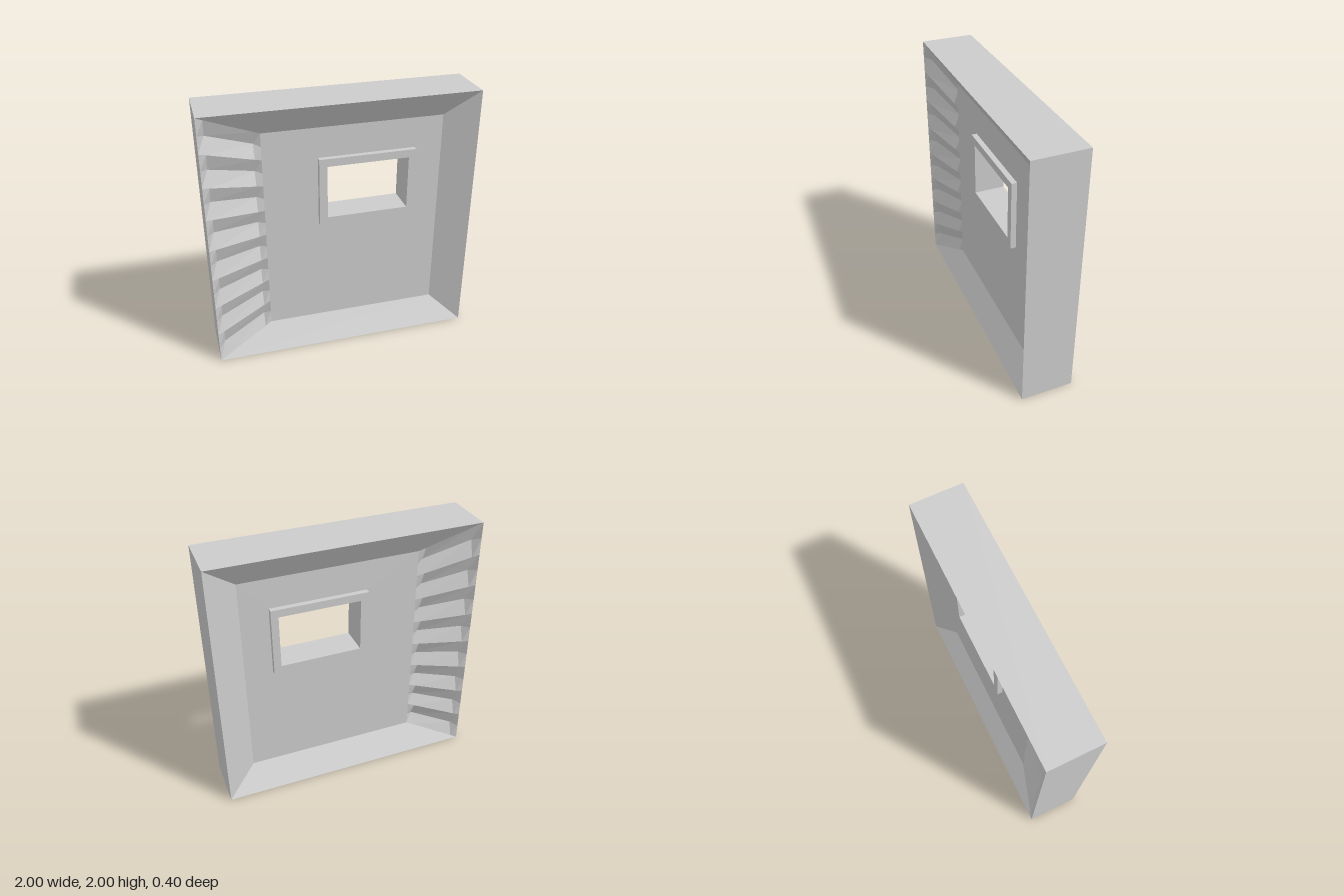
import * as THREE from 'three';

const grey = new THREE.MeshStandardMaterial({ color: 0xcccccc });
grey.name = 'plainGrey';

const RIM_Z = 0.2, PANEL_Z = 0.075, FRAME_Z = 0.115;
const outer = { x0: -1, x1: 1, y0: 0, y1: 2 };
const inner = { x0: -0.57, x1: 0.77, y0: 0.2, y1: 1.8 };
const frameOuter = { x0: -0.17, x1: 0.56, y0: 1.04, y1: 1.57 };
const frameInner = { x0: -0.11, x1: 0.505, y0: 1.1, y1: 1.51 };

function mesh(name, geometry) {
  const m = new THREE.Mesh(geometry, grey);
  m.name = name;
  return m;
}

// Rectangular plate with a rectangular hole, centred on z = 0
function holedPlate(r, hole, halfDepth) {
  const points = (q) => [[q.x0, q.y0], [q.x1, q.y0], [q.x1, q.y1], [q.x0, q.y1]]
    .map(([x, y]) => new THREE.Vector2(x, y));
  const shape = new THREE.Shape(points(r));
  shape.holes.push(new THREE.Path(points(hole).reverse()));
  const g = new THREE.ExtrudeGeometry(shape, { depth: 2 * halfDepth, bevelEnabled: false });
  return g.translate(0, 0, -halfDepth);
}

// Flat-faced geometry from quads with counter-clockwise corners
function fromQuads(quads) {
  const pos = quads.flatMap(([a, b, c, d]) => [a, b, c, a, c, d].flat());
  const g = new THREE.BufferGeometry();
  g.setAttribute('position', new THREE.Float32BufferAttribute(pos, 3));
  g.computeVertexNormals();
  return g;
}

// Adds the same quads mirrored to the back, with the corner order reversed
function bothSides(quads) {
  return quads.concat(quads.map((q) => q.map(([x, y, z]) => [x, y, -z]).reverse()));
}

// Corner of a rectangle at a given z, counter-clockwise from lower left
function corner(r, i, z) {
  const k = i % 4;
  return [k === 1 || k === 2 ? r.x1 : r.x0, k >= 2 ? r.y1 : r.y0, z];
}

// Zigzag side wall: straight at rim and panel, grooved in between
function corrugatedWall() {
  const columns = [[-1, 0], [-0.95, 0.04], [-0.62, 0.04], [-0.57, 0]];
  const rows = 16;
  const point = (c, row) => {
    const [x, groove] = columns[c];
    const t = (x - outer.x0) / (inner.x0 - outer.x0);
    const y0 = THREE.MathUtils.lerp(outer.y0, inner.y0, t);
    const y1 = THREE.MathUtils.lerp(outer.y1, inner.y1, t);
    const z = THREE.MathUtils.lerp(RIM_Z, PANEL_Z, t) - (row % 2) * groove;
    return [x, THREE.MathUtils.lerp(y0, y1, row / rows), z];
  };
  const quads = [];
  for (let row = 0; row < rows; row++) {
    for (let c = 0; c < columns.length - 1; c++) {
      quads.push([point(c, row), point(c + 1, row), point(c + 1, row + 1), point(c, row + 1)]);
    }
  }
  return fromQuads(bothSides(quads));
}

export function createModel() {
  const group = new THREE.Group();
  group.name = 'windowWall';

  // Recessed panel and the frame lining its window
  group.add(mesh('panel', holedPlate(inner, frameOuter, PANEL_Z)));
  group.add(mesh('windowFrame', holedPlate(frameOuter, frameInner, FRAME_Z)));

  // Outer faces and smooth slopes: bottom, +x side, top, -x side
  ['bottomBorder', 'leftBorder', 'topBorder', 'rightBorder'].forEach((name, i) => {
    const quads = [[
      corner(outer, i, RIM_Z), corner(outer, i, -RIM_Z),
      corner(outer, i + 1, -RIM_Z), corner(outer, i + 1, RIM_Z),
    ]];
    if (i < 3) {
      quads.push(...bothSides([[
        corner(outer, i, RIM_Z), corner(outer, i + 1, RIM_Z),
        corner(inner, i + 1, PANEL_Z), corner(inner, i, PANEL_Z),
      ]]));
    }
    group.add(mesh(name, fromQuads(quads)));
  });

  group.add(mesh('corrugatedSlope', corrugatedWall()));
  return group;
}
